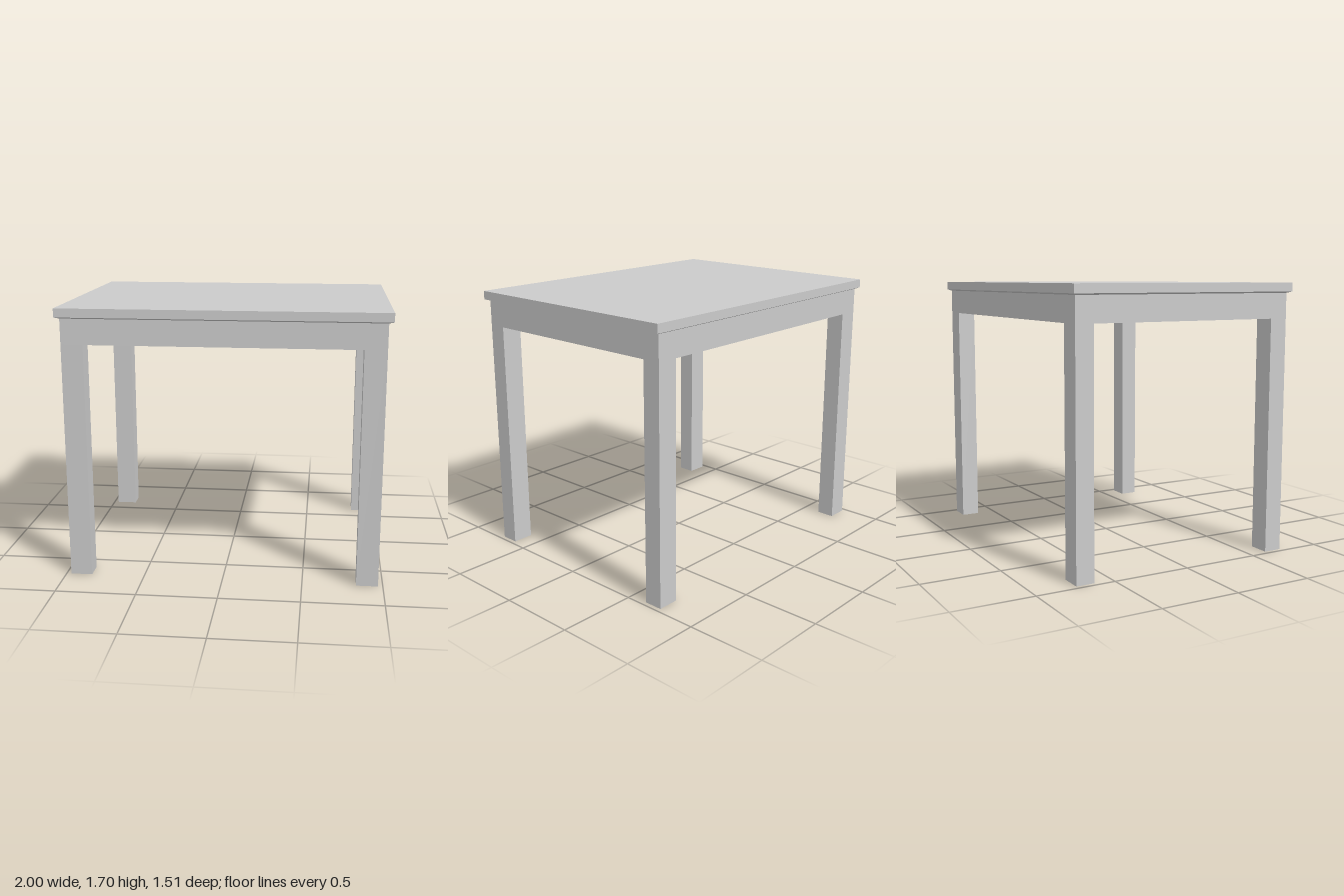
import * as THREE from 'three';

const material = new THREE.MeshStandardMaterial({ color: 0xcccccc, flatShading: true });

// Box given by its size, its centre in x and z, and its bottom height
function addBox(group, name, [w, h, d], x, bottom, z) {
  const mesh = new THREE.Mesh(new THREE.BoxGeometry(w, h, d), material);
  mesh.name = name;
  mesh.position.set(x, bottom + h / 2, z);
  group.add(mesh);
  return mesh;
}

export function createModel() {
  const table = new THREE.Group();
  table.name = 'table';

  const bodyX = 0.97, bodyZ = 0.736;     // half extents of apron and legs
  const topX = 1, topZ = 0.757;          // half extents of the table top
  const apronBottom = 1.48, apronTop = 1.637, lipY = 1.646, topY = 1.7;
  const legW = 0.135, legD = 0.116;

  // Table top
  addBox(table, 'tableTop', [topX * 2, topY - lipY, topZ * 2], 0, lipY, 0);

  // Shallow sloped underside, narrowing from the top's rim to the apron
  const under = addBox(table, 'topUnderside', [topX * 2, lipY - apronTop, topZ * 2], 0, apronTop, 0);
  const p = under.geometry.attributes.position;
  for (let i = 0; i < p.count; i++) {
    if (p.getY(i) < 0) {
      p.setX(i, Math.sign(p.getX(i)) * bodyX);
      p.setZ(i, Math.sign(p.getZ(i)) * bodyZ);
    }
  }
  under.geometry.computeVertexNormals();

  // Solid apron, closed underneath
  addBox(table, 'apron', [bodyX * 2, apronTop - apronBottom, bodyZ * 2], 0, apronBottom, 0);

  // Four corner legs, flush with the apron
  for (const [sx, side] of [[1, 'Left'], [-1, 'Right']]) {
    for (const [sz, end] of [[1, 'front'], [-1, 'back']]) {
      addBox(table, `${end}${side}Leg`, [legW, apronBottom, legD],
        sx * (bodyX - legW / 2), 0, sz * (bodyZ - legD / 2));
    }
  }
  return table;
}
